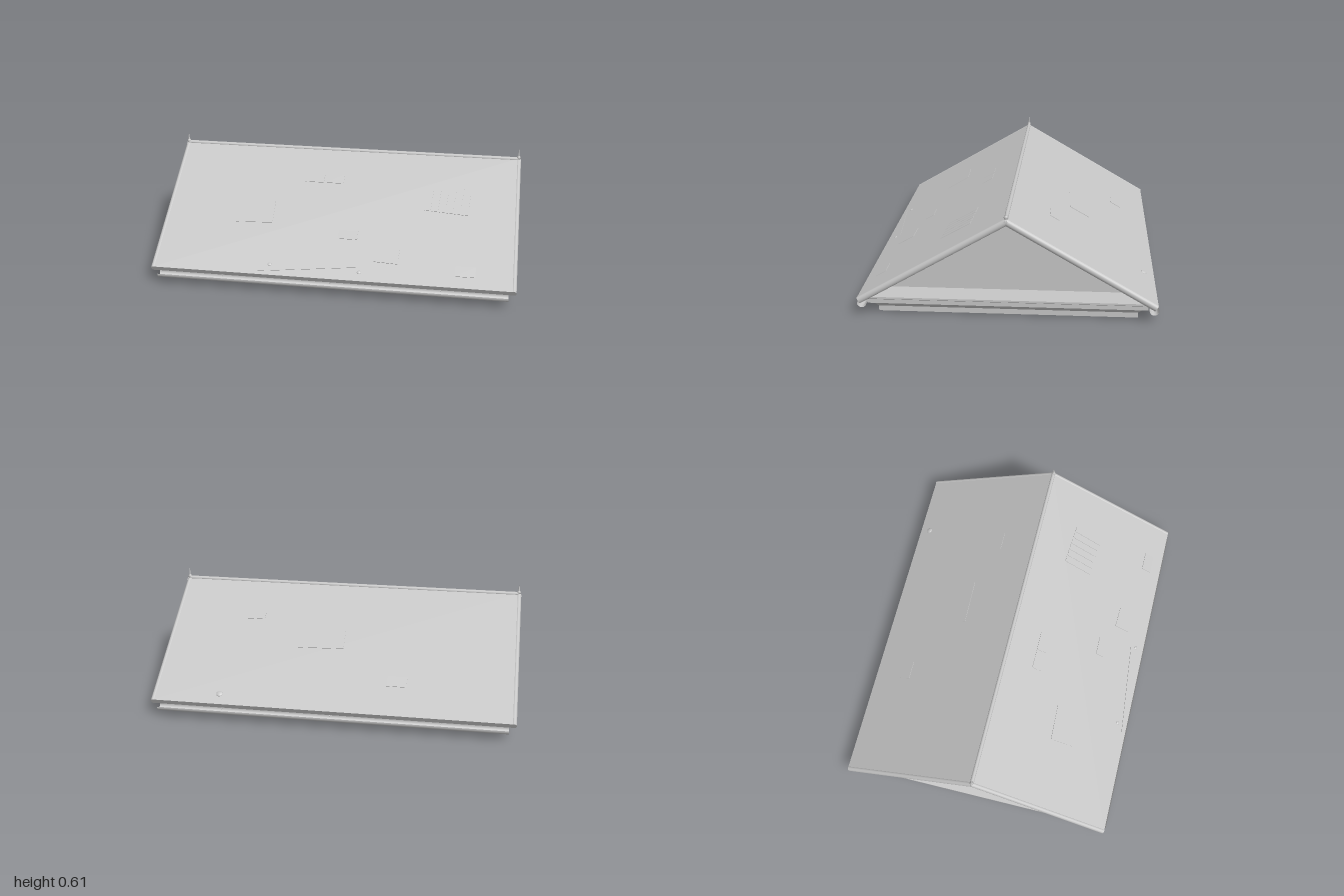
import * as THREE from 'three';
import { toCreasedNormals } from 'three/addons/utils/BufferGeometryUtils.js';

const RIDGE = 0.555, PITCH = Math.atan(0.45 / 0.775), LENGTH = 0.9, THICK = 0.033;

export function createModel() {
  const model = new THREE.Group();
  model.name = 'gableRoof';
  const grey = new THREE.MeshStandardMaterial({ color: 0xc6c6c6, side: THREE.DoubleSide });
  grey.name = 'lightGrey';

  const add = (parent, name, geometry, x = 0, y = 0, z = 0) => {
    const mesh = new THREE.Mesh(geometry, grey);
    mesh.name = name;
    mesh.position.set(x, y, z);
    parent.add(mesh);
    return mesh;
  };

  // Roof covering: chevron cross-section run along x
  const c = Math.cos(PITCH), s = Math.sin(PITCH);
  const ez = LENGTH * c, ey = RIDGE - LENGTH * s;
  const bz = ez - THICK * s, by = ey - THICK * c;
  const chevron = new THREE.Shape([
    [0, RIDGE], [-ez, ey], [-bz, by], [0, RIDGE - THICK / c], [bz, by], [ez, ey],
  ].map(([z, y]) => new THREE.Vector2(z, y)));
  const roof = new THREE.ExtrudeGeometry(chevron, { depth: 1.97, bevelEnabled: false });
  add(model, 'roofSlopes', roof.translate(0, 0, -0.985).rotateY(Math.PI / 2));

  // Recessed gable walls
  const triangle = new THREE.Shape([[-0.72, 0.1], [0.72, 0.1], [0, 0.52]].map(p => new THREE.Vector2(...p)));
  for (const side of [1, -1]) {
    const wall = new THREE.ShapeGeometry(triangle).rotateY(side * Math.PI / 2);
    add(model, 'gableWall', wall, side * 0.82);
  }

  // Hollow base cornice: rectangular loops of half-width, half-depth and height
  const loops = [
    [0.91, 0.68, 0], [0.91, 0.68, 0.028], [0.916, 0.686, 0.034], [0.924, 0.694, 0.045],
    [0.936, 0.706, 0.054], [0.95, 0.72, 0.06], [0.96, 0.73, 0.064], [0.96, 0.73, 0.086],
    [0.965, 0.733, 0.09], [0.965, 0.733, 0.1], [0.82, 0.67, 0.1],
  ];
  const corners = [[1, 1], [1, -1], [-1, -1], [-1, 1]];
  const points = [], faces = [];
  loops.forEach(([w, d, y], i) => {
    corners.forEach(([sx, sz], k) => {
      points.push(sx * w, y, sz * d);
      if (i === loops.length - 1) return;
      const a = i * 4 + k, b = i * 4 + (k + 1) % 4;
      faces.push(a, b, b + 4, a, b + 4, a + 4);
    });
  });
  const cornice = new THREE.BufferGeometry();
  cornice.setAttribute('position', new THREE.Float32BufferAttribute(points, 3));
  cornice.setIndex(faces);
  add(model, 'baseCornice', toCreasedNormals(cornice, 0.6));

  // Half-round gutters under both eaves
  for (const side of [1, -1]) {
    for (const r of [0.025, 0.021]) {
      const trough = new THREE.CylinderGeometry(r, r, 1.92, 16, 1, true, -Math.PI / 2, Math.PI);
      // the open half faces up
      trough.rotateZ(Math.PI / 2).rotateX(Math.PI / 2);
      const box = trough.computeBoundingBox() || trough.boundingBox;
      if (box.max.y > r / 2) trough.rotateX(Math.PI);
      else if (box.min.y > -r / 2) trough.rotateX(Math.PI);
      else if (box.max.z < r / 2) trough.rotateX(-Math.PI / 2);
      else if (box.min.z > -r / 2) trough.rotateX(Math.PI / 2);
      add(model, 'gutter', trough, 0, 0.062, side * 0.761);
    }
    for (const e of [-1, 0, 1]) {
      add(model, 'gutterBracket', new THREE.BoxGeometry(0.006, 0.006, 0.03), e * 0.6, 0.066, side * 0.745);
    }
  }

  // Ridge roll and spiked finials
  add(model, 'ridgeRoll', new THREE.CylinderGeometry(0.011, 0.011, 1.97, 14).rotateZ(Math.PI / 2), 0, RIDGE - 0.003, 0);
  const finial = new THREE.LatheGeometry([
    [0, 0], [0.009, 0.002], [0.011, 0.01], [0.008, 0.018], [0.004, 0.02], [0.003, 0.04], [0, 0.062],
  ].map(p => new THREE.Vector2(...p)), 12);
  for (const side of [1, -1]) add(model, 'finial', finial, side * 0.985, 0.551, 0);

  // Each slope's own frame: z runs down the slope, y out of it
  const slope = (name, turn) => {
    const pivot = new THREE.Group(), plane = new THREE.Group();
    pivot.name = name;
    pivot.rotation.y = turn;
    pivot.position.y = RIDGE;
    plane.rotation.x = PITCH;
    plane.name = name + 'Plane';
    pivot.add(plane);
    model.add(pivot);
    // Rounded verge trims
    for (const e of [1, -1]) {
      const roll = new THREE.CylinderGeometry(0.0185, 0.0185, LENGTH, 14).rotateX(Math.PI / 2).scale(0.8, 1, 1);
      add(plane, 'vergeTrim', roll, e * 0.985, -THICK / 2, LENGTH / 2);
    }
    return plane;
  };
  const front = slope('frontSlope', 0), back = slope('backSlope', Math.PI);

  // Thin plates, given by their plan centre, plan depth and turn
  const plate = (parent, name, x, z, w, d, turn = 0) => {
    const mesh = add(parent, name, new THREE.BoxGeometry(w, 0.004, d / c), x, 0.001, z / c);
    mesh.rotation.y = turn;
  };
  plate(front, 'largePatch', -0.48, 0.42, 0.21, 0.13, 0.04);
  plate(front, 'skylight', -0.175, 0.19, 0.108, 0.06);
  plate(front, 'skylight', -0.06, 0.19, 0.108, 0.06);
  plate(front, 'smallPatch', 0.065, 0.525, 0.11, 0.05);
  plate(front, 'mediumPatch', 0.295, 0.625, 0.13, 0.09, -0.05);
  plate(front, 'smallPatch', 0.725, 0.69, 0.11, 0.055);
  plate(front, 'diagonalStrip', -0.12, 0.73, 0.56, 0.006, 0.12);
  plate(back, 'smallPatch', 0.345, 0.585, 0.11, 0.06);
  plate(back, 'largePatch', -0.11, 0.36, 0.26, 0.11, 0.03);
  plate(back, 'smallPatch', -0.52, 0.23, 0.11, 0.05);

  // Slatted panel
  for (let i = 0; i < 6; i++) plate(front, 'panelSlat', 0.495 + i * 0.042, 0.275 + i * 0.003, 0.036, 0.16, -0.06);

  // Small roof vents
  for (const [parent, x, z, r] of [[front, -0.34, 0.72, 0.011], [front, 0.155, 0.73, 0.011], [back, -0.62, 0.72, 0.018]]) {
    add(parent, 'roofVent', new THREE.SphereGeometry(r, 12, 6, 0, Math.PI * 2, 0, Math.PI / 2).scale(1, 0.4, 1), x, 0, z / c);
  }
  return model;
}
